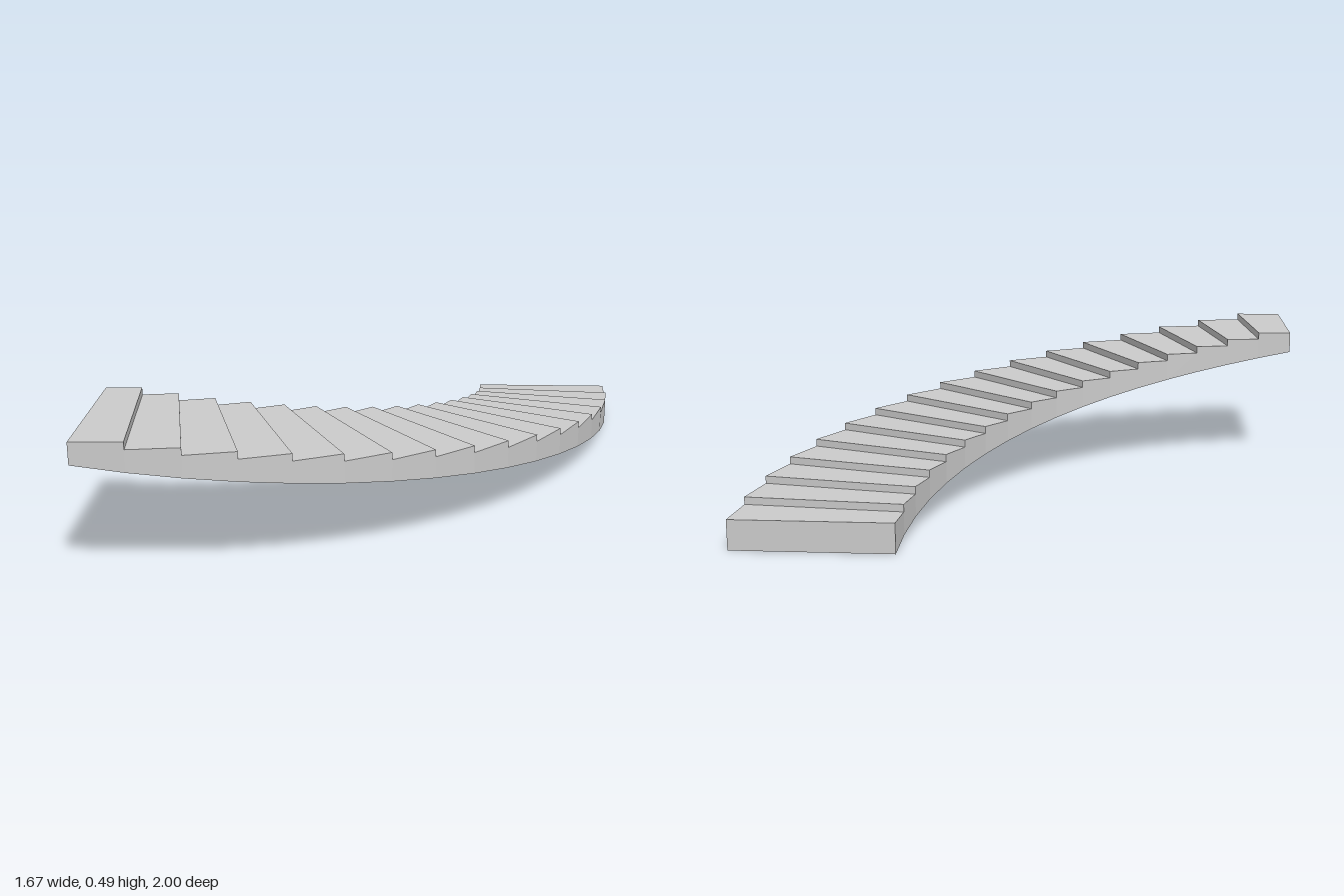
import * as THREE from 'three';

const STEPS = 17;
const RISE = 0.0245;
const INNER = 1.291, OUTER = 1.81;
const CX = -0.976, CZ = -0.799;
const START = -0.111, SWEEP = Math.PI / 2;

// Corner at step edge i, on the given radius and height
const at = (i, r, y) => {
  const a = START + (SWEEP * i) / STEPS;
  return [CX + r * Math.cos(a), y, CZ + r * Math.sin(a)];
};

// Flat-shaded mesh from a list of four-cornered faces
function quadMesh(name, quads, material) {
  const positions = quads.flatMap(([a, b, c, d]) => [a, b, c, a, c, d]).flat();
  const geometry = new THREE.BufferGeometry();
  geometry.setAttribute('position', new THREE.Float32BufferAttribute(positions, 3));
  geometry.computeVertexNormals();
  const mesh = new THREE.Mesh(geometry, material);
  mesh.name = name;
  return mesh;
}

export function createModel() {
  const group = new THREE.Group();
  group.name = 'curvedStaircase';
  const material = new THREE.MeshStandardMaterial({ color: 0xcccccc, flatShading: true });

  const treads = [], risers = [], outerSide = [], innerSide = [], soffit = [];
  for (let i = 0; i < STEPS; i++) {
    const j = i + 1;
    const low = RISE * i, high = RISE * j; // underside at both step edges
    const top = RISE * (i + 4);
    const riserFoot = i === 0 ? 0 : top - RISE;

    treads.push([at(i, INNER, top), at(j, INNER, top), at(j, OUTER, top), at(i, OUTER, top)]);
    risers.push([at(i, OUTER, riserFoot), at(i, INNER, riserFoot), at(i, INNER, top), at(i, OUTER, top)]);
    outerSide.push([at(j, OUTER, high), at(i, OUTER, low), at(i, OUTER, top), at(j, OUTER, top)]);
    innerSide.push([at(i, INNER, low), at(j, INNER, high), at(j, INNER, top), at(i, INNER, top)]);
    soffit.push([at(i, INNER, low), at(i, OUTER, low), at(j, OUTER, high), at(j, INNER, high)]);
  }

  // Upright face closing the upper end
  const foot = RISE * STEPS, head = RISE * (STEPS + 3);
  const upperEnd = [[
    at(STEPS, INNER, foot), at(STEPS, OUTER, foot),
    at(STEPS, OUTER, head), at(STEPS, INNER, head),
  ]];

  const parts = { treads, risers, outerSide, innerSide, soffit, upperEnd };
  for (const [name, quads] of Object.entries(parts)) group.add(quadMesh(name, quads, material));
  return group;
}
